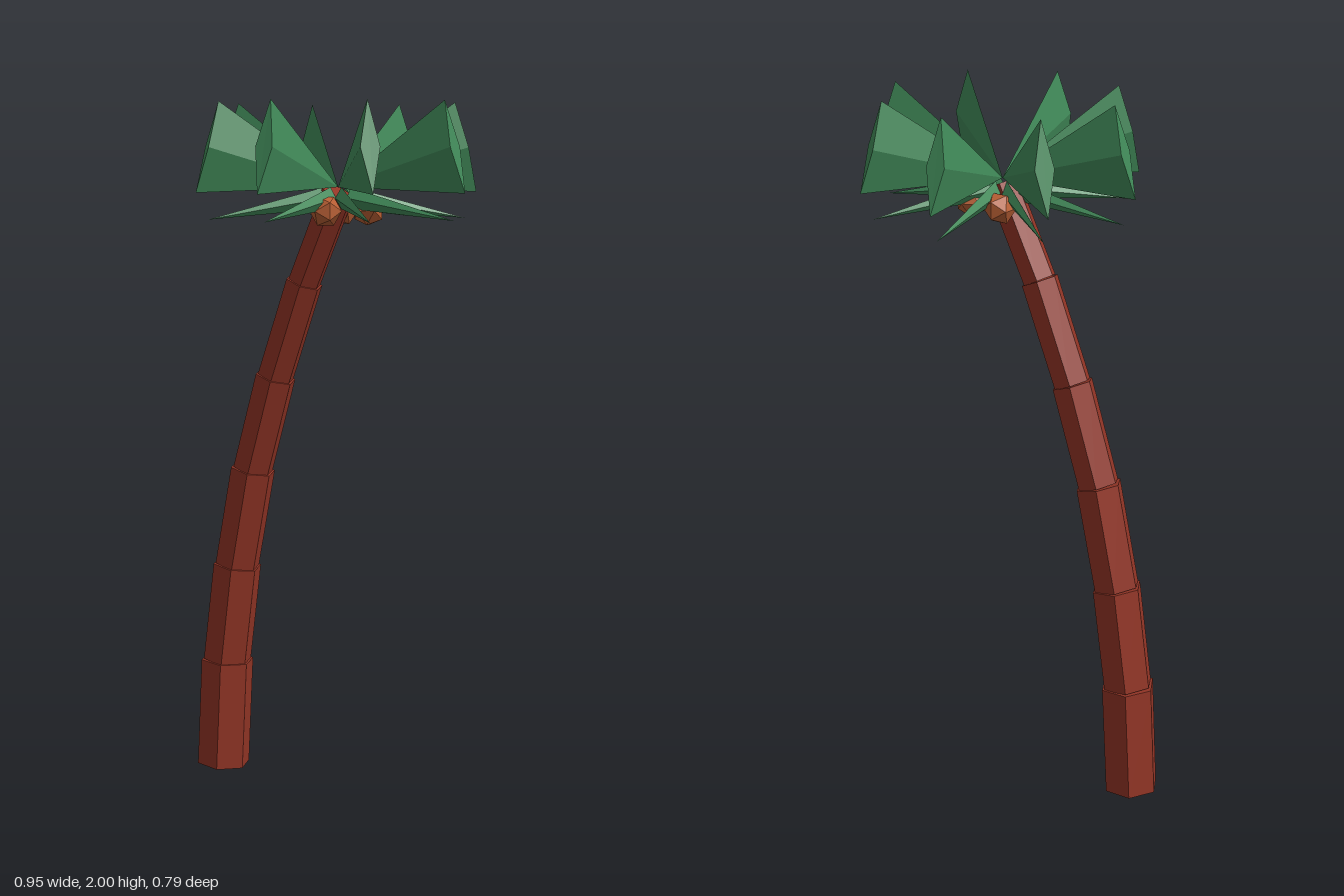
import * as THREE from 'three';

const flat = (name, color) => {
  const m = new THREE.MeshStandardMaterial({ color });
  m.name = name;
  m.flatShading = true;
  return m;
};

// Four-sided pyramid: base corners run counter-clockwise seen from outside
function pyramid(apex, [a, b, c, d]) {
  const faces = [a, b, c, a, c, d];
  const ring = [a, b, c, d];
  ring.forEach((p, i) => faces.push(apex, ring[(i + 1) % 4], p));
  const g = new THREE.BufferGeometry();
  g.setAttribute('position', new THREE.Float32BufferAttribute(faces.flat(), 3));
  g.computeVertexNormals();
  return g;
}

export function createModel() {
  const bark = flat('bark', 0x933526);
  const leaf = flat('leaf', 0x418a59);
  const husk = flat('husk', 0xb85f34);
  const model = new THREE.Group();
  model.name = 'palmTree';

  const add = (parent, name, geometry, material) => {
    const mesh = new THREE.Mesh(geometry, material);
    mesh.name = name;
    parent.add(mesh);
    return mesh;
  };

  // Trunk: six stepped hexagonal segments along a leaning curve
  const joints = [
    [-0.395, 0.006], [-0.375, 0.335], [-0.33, 0.635], [-0.262, 0.933],
    [-0.168, 1.215], [-0.053, 1.495], [0.076, 1.75],
  ].map(([x, y]) => new THREE.Vector2(x, y));
  const radii = [0.081, 0.074, 0.068, 0.061, 0.055, 0.049];
  const trunk = new THREE.Group();
  trunk.name = 'trunk';
  radii.forEach((r, i) => {
    const from = joints[i], to = joints[i + 1];
    const dir = to.clone().sub(from);
    const g = new THREE.CylinderGeometry(r, r, dir.length(), 6, 1, false, Math.PI / 6);
    const segment = add(trunk, 'trunkSegment', g, bark);
    segment.position.set((from.x + to.x) / 2, (from.y + to.y) / 2, 0);
    segment.rotation.z = -Math.atan2(dir.x, dir.y);
  });
  model.add(trunk);

  // Fronds: a tall diamond blade widening outward, with a thin drooping spike below
  const blade = pyramid([0, 0, 0], [
    [0.337, 0.235, 0], [0.37, 0.11, 0.027], [0.402, -0.014, 0], [0.37, 0.11, -0.027],
  ]);
  const spike = pyramid([0.37, -0.088, 0], [
    [0.04, 0, 0], [0.04, -0.03, -0.018], [0.04, -0.06, 0], [0.04, -0.03, 0.018],
  ]);
  const crown = new THREE.Group();
  crown.name = 'crown';
  crown.position.set(0.076, 1.765, 0);
  for (let i = 0; i < 8; i++) {
    const frond = new THREE.Group();
    frond.name = 'frond';
    frond.rotation.y = THREE.MathUtils.degToRad(10 + 45 * i);
    add(frond, 'frondBlade', blade, leaf);
    add(frond, 'frondSpike', spike, leaf);
    crown.add(frond);
  }
  model.add(crown);

  // Coconuts clustered under the crown
  const nut = new THREE.IcosahedronGeometry(0.046, 0);
  [[0.033, -0.068], [0.143, -0.052], [0.094, 0.072]].forEach(([x, z], i) => {
    const coconut = add(model, 'coconut', nut, husk);
    coconut.position.set(x, 1.7, z);
    coconut.rotation.y = i * 2.1;
  });

  return model;
}
